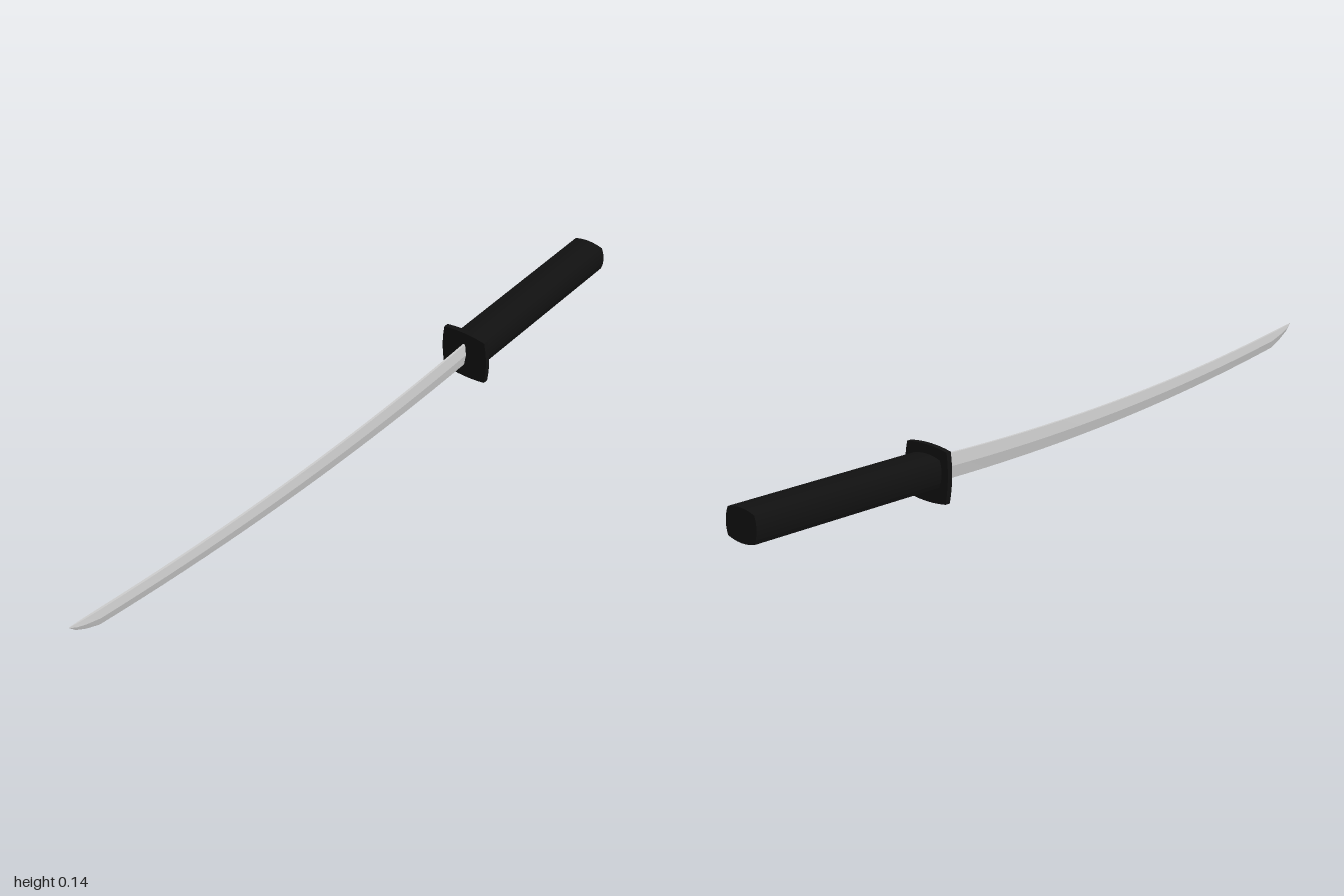
import * as THREE from 'three';

const black = new THREE.MeshStandardMaterial({ color: 0x111111, flatShading: true });
const steel = new THREE.MeshStandardMaterial({ color: 0xcccccc, flatShading: true, side: THREE.DoubleSide });
const TILT = 0.048; // the grip rises slightly toward the back

// Rectangle whose four sides bow outward, extruded along z and centred
function bowedBlock(name, halfW, halfH, bulge, depth) {
  const w = halfW - bulge, h = halfH - bulge, k = 2 * bulge;
  const shape = new THREE.Shape();
  shape.moveTo(-w, -h);
  shape.quadraticCurveTo(0, -h - k, w, -h);
  shape.quadraticCurveTo(w + k, 0, w, h);
  shape.quadraticCurveTo(0, h + k, -w, h);
  shape.quadraticCurveTo(-w - k, 0, -w, -h);
  const geo = new THREE.ExtrudeGeometry(shape, { depth, bevelEnabled: false, curveSegments: 6 });
  geo.translate(0, 0, -depth / 2);
  const mesh = new THREE.Mesh(geo, black);
  mesh.name = name;
  mesh.rotation.x = TILT;
  return mesh;
}

// Curved, tapering blade: five-point sections with a ridge on each side
function makeBlade() {
  const spine = z => 0.077 + 0.067 * (z - 0.2) ** 2;
  const edge = z => spine(z) - 0.055 + 0.016 * (z - 0.2);
  const rows = [];
  const steps = 20, start = -0.44, tipStart = 0.91;
  for (let i = 0; i <= steps; i++) {
    const z = start + (tipStart - start) * i / steps;
    rows.push([z, edge(z), spine(z), 1]);
  }
  // angled point
  rows.push([0.95, 0.083, spine(0.95), 0.8], [0.98, 0.1, spine(0.98), 0.5], [1, 0.12, 0.12, 0]);

  const pos = [], idx = [], n = 5;
  for (const [z, bottom, top, f] of rows) {
    const ridge = bottom + (top - bottom) * 0.5, w = 0.006 * f, s = 0.003 * f;
    pos.push(0, bottom, z, w, ridge, z, s, top, z, -s, top, z, -w, ridge, z);
  }
  for (let i = 0; i < rows.length - 1; i++) {
    for (let j = 0; j < n; j++) {
      const a = i * n + j, b = i * n + (j + 1) % n;
      idx.push(a, b, b + n, a, b + n, a + n);
    }
  }
  const geo = new THREE.BufferGeometry();
  geo.setAttribute('position', new THREE.Float32BufferAttribute(pos, 3));
  geo.setIndex(idx);
  geo.computeVertexNormals();
  const mesh = new THREE.Mesh(geo, steel);
  mesh.name = 'blade';
  return mesh;
}

export function createModel() {
  const group = new THREE.Group();
  group.name = 'curvedSword';

  const handle = bowedBlock('handle', 0.05, 0.04, 0.007, 0.565);
  handle.position.set(0, 0.09, -0.716);

  const guard = bowedBlock('guard', 0.07, 0.069, 0.006, 0.014);
  guard.position.set(0, 0.07, -0.435);

  group.add(makeBlade(), guard, handle);
  return group;
}
